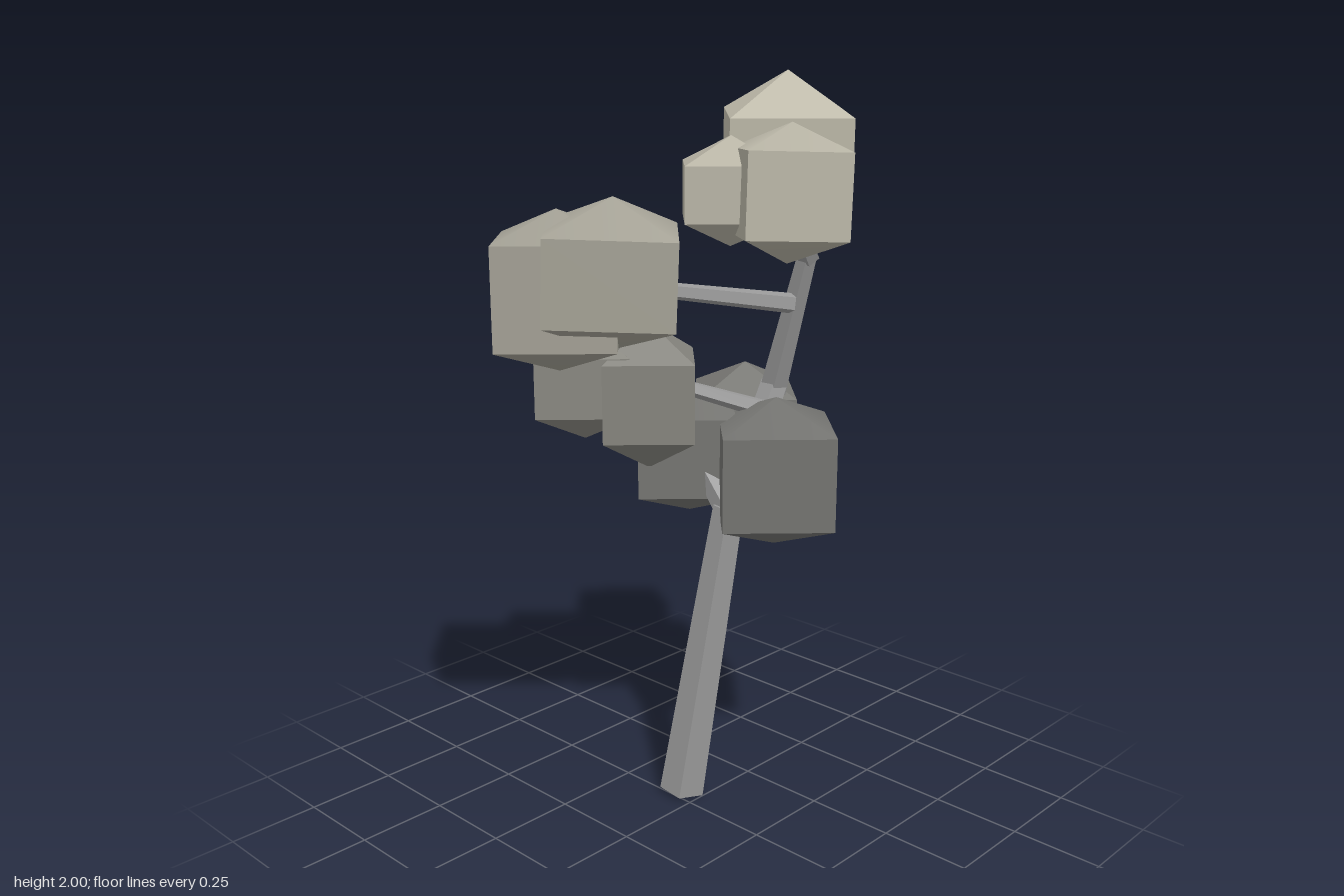
import * as THREE from 'three';
import { toCreasedNormals } from 'three/addons/utils/BufferGeometryUtils.js';

const wood = new THREE.MeshStandardMaterial({ color: 0x999999, flatShading: true });
const lowLeaf = new THREE.Color(0x737370);
const highLeaf = new THREE.Color(0xbebaaa);

// Foliage paint grows lighter towards the crown.
function leafMaterial(y) {
  const t = Math.max(0, (y - 0.95) / 0.85) ** 1.25;
  return new THREE.MeshStandardMaterial({ color: lowLeaf.clone().lerp(highLeaf, t) });
}

// Foliage clump: four-sided block with a pyramid above and below.
// Half-width, half-height, and ring = height of the vertical sides from the centre.
// Shallow pyramids shade smoothly, steeper ones keep their ridges.
function clump(name, [x, y, z, half, height, ring, tiltX = 0, tiltY = 0, tiltZ = 0]) {
  const profile = [[0, -height], [half, -ring], [half, ring], [0, height]]
    .map(([r, h]) => new THREE.Vector2(r, h));
  const geometry = toCreasedNormals(new THREE.LatheGeometry(profile, 4), THREE.MathUtils.degToRad(40));
  const mesh = new THREE.Mesh(geometry, leafMaterial(y));
  mesh.name = name;
  mesh.position.set(x, y, z);
  mesh.rotation.set(tiltX, tiltY, tiltZ);
  return mesh;
}

// Tapered five-sided limb between two points, one corner towards +x.
function limb(name, from, to, r0, r1) {
  const a = new THREE.Vector3(...from), b = new THREE.Vector3(...to);
  const dir = b.clone().sub(a);
  const geometry = new THREE.CylinderGeometry(r1, r0, dir.length(), 5).rotateY(Math.PI / 2);
  const mesh = new THREE.Mesh(geometry, wood);
  mesh.name = name;
  mesh.position.copy(a).add(b).multiplyScalar(0.5);
  mesh.quaternion.setFromUnitVectors(new THREE.Vector3(0, 1, 0), dir.normalize());
  return mesh;
}

export function createModel() {
  const tree = new THREE.Group();
  tree.name = 'tree';

  // Leaning trunk
  tree.add(limb('trunk', [0.035, 0.007, -0.063], [0.122, 0.86, 0.03], 0.065, 0.044));

  // Limbs
  const branches = new THREE.Group();
  branches.name = 'branches';
  [
    [[0.125, 0.84, 0.03], [0.31, 1.17, 0.025], 0.042, 0.038],
    [[0.31, 1.15, 0.02], [0.275, 1.56, 0.165], 0.038, 0.026],
    [[0.28, 1.53, 0.16], [0.15, 1.67, 0.2], 0.029, 0.023],
    [[0.255, 1.41, 0.125], [-0.06, 1.465, -0.01], 0.028, 0.022],
    [[0.17, 1.62, 0.2], [0.0, 1.72, 0.28], 0.02, 0.016],
    [[0.25, 1.11, 0.06], [0.05, 1.19, -0.08], 0.027, 0.02],
    [[0.125, 0.84, 0.03], [0.1, 1.15, -0.2], 0.036, 0.024],
  ].forEach((b) => branches.add(limb('branch', ...b)));
  tree.add(branches);

  // Foliage
  const foliage = new THREE.Group();
  foliage.name = 'foliage';
  const clumps = {
    topClump: [0.165, 1.8, 0.172, 0.21, 0.202, 0.1, 0.04, 0, 0.04],
    frontUpperClump: [-0.01, 1.725, 0.33, 0.172, 0.163, 0.1, 0, 0.1, -0.04],
    smallUpperClump: [-0.06, 1.725, 0.19, 0.158, 0.13, 0.066],
    leftFrontClump: [-0.25, 1.525, -0.026, 0.225, 0.188, 0.107, 0.05],
    leftBackClump: [-0.318, 1.48, -0.145, 0.21, 0.2, 0.128],
    smallMiddleClump: [-0.12, 1.505, -0.14, 0.11, 0.125, 0.065],
    backLeftClump: [-0.12, 1.205, -0.275, 0.175, 0.162, 0.08],
    backRightClump: [0.06, 1.2, -0.332, 0.173, 0.155, 0.09],
    rightClump: [0.33, 1.03, -0.1, 0.19, 0.18, 0.1],
    frontLowerClump: [0.212, 0.958, 0.115, 0.21, 0.205, 0.127],
    backLowerClump: [0.165, 0.985, -0.158, 0.202, 0.185, 0.11],
    middleClump: [-0.012, 1.165, -0.14, 0.17, 0.2, 0.105],
  };
  for (const [name, values] of Object.entries(clumps)) foliage.add(clump(name, values));
  tree.add(foliage);

  return tree;
}
